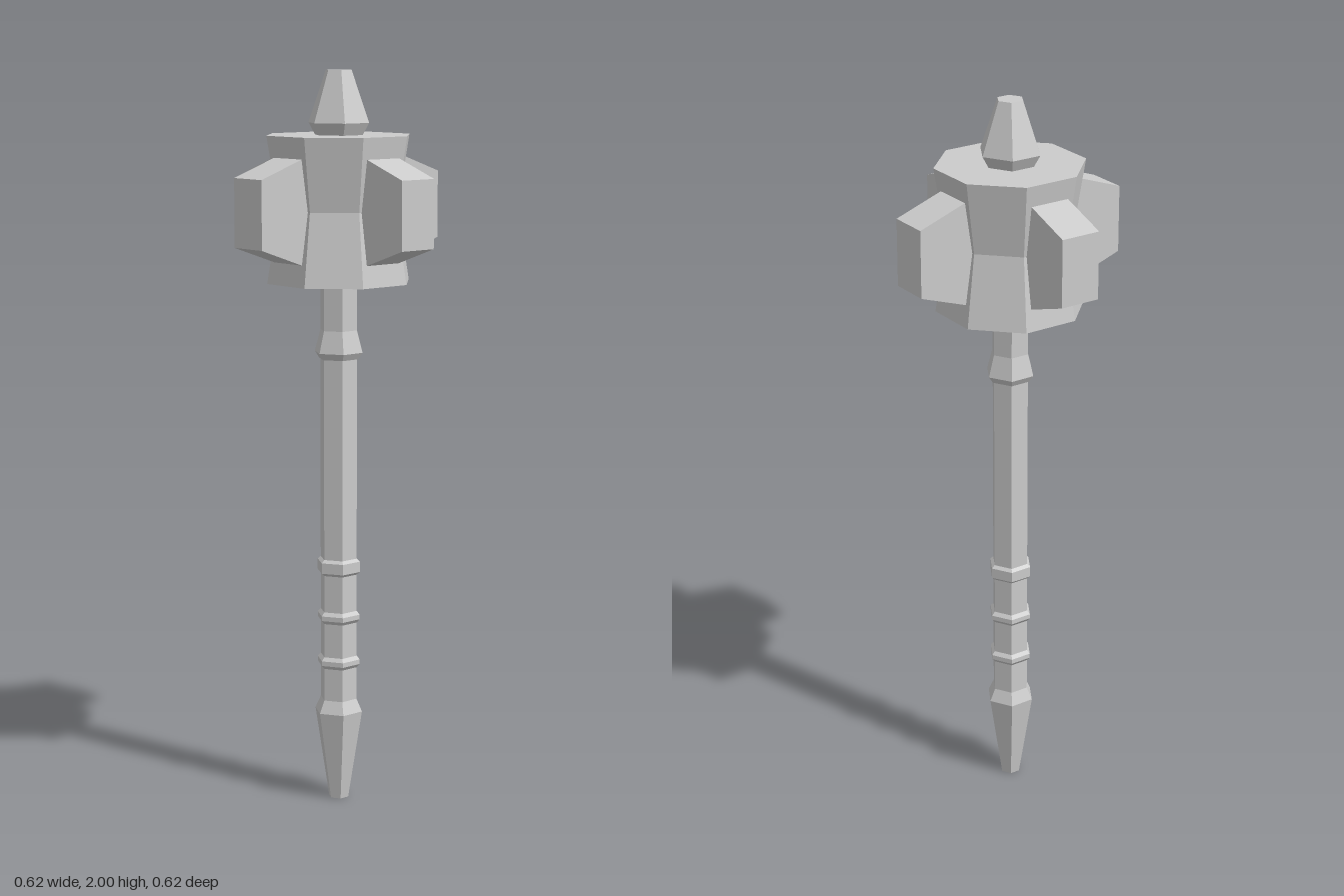
import * as THREE from 'three';

const material = new THREE.MeshStandardMaterial({ color: 0xcccccc, flatShading: true });

// Faceted solid of revolution from [radius, y] pairs, listed bottom to top
function faceted(name, profile, sides) {
  const first = profile[0], last = profile[profile.length - 1];
  const points = [[0, first[1]], ...profile, [0, last[1]]].map(([r, y]) => new THREE.Vector2(r, y));
  const mesh = new THREE.Mesh(new THREE.LatheGeometry(points, sides, Math.PI / sides), material);
  mesh.name = name;
  return mesh;
}

export function createModel() {
  const model = new THREE.Group();
  model.name = 'mace';

  // Hexagonal handle with tapered pommel
  model.add(faceted('pommel', [[0.028, 0], [0.068, 0.25], [0.052, 0.285]], 6));
  model.add(faceted('shaft', [[0.052, 0.27], [0.052, 1.46]], 6));

  // Grip rings, bevelled top and bottom
  for (const [low, high, bevel] of [[0.375, 0.408, 0.01], [0.502, 0.535, 0.01], [0.637, 0.682, 0.008]]) {
    model.add(faceted('gripRing',
      [[0.052, low], [0.061, low + bevel], [0.061, high - bevel], [0.052, high]], 6));
  }

  // Flared collar below the head
  model.add(faceted('collar', [[0.056, 1.232], [0.068, 1.25], [0.052, 1.31]], 6));

  // Octagonal head, pinched at its middle
  model.add(faceted('head', [[0.2, 1.44], [0.168, 1.635], [0.2, 1.83]], 8));

  // Four tapered flanges around the head
  const outline = new THREE.Shape([
    [0.1, 1.472], [0.31, 1.545], [0.31, 1.726], [0.1, 1.8],
  ].map(([x, y]) => new THREE.Vector2(x, y)));
  const flangeGeometry = new THREE.ExtrudeGeometry(outline, { depth: 0.112, bevelEnabled: false });
  flangeGeometry.translate(0, 0, -0.056);
  for (let i = 0; i < 4; i++) {
    const flange = new THREE.Mesh(flangeGeometry, material);
    flange.name = 'flange';
    flange.rotation.y = i * Math.PI / 2;
    model.add(flange);
  }

  // Pointed finial with a blunt tip
  model.add(faceted('finial', [[0.064, 1.825], [0.085, 1.862], [0.036, 2]], 6));

  return model;
}
